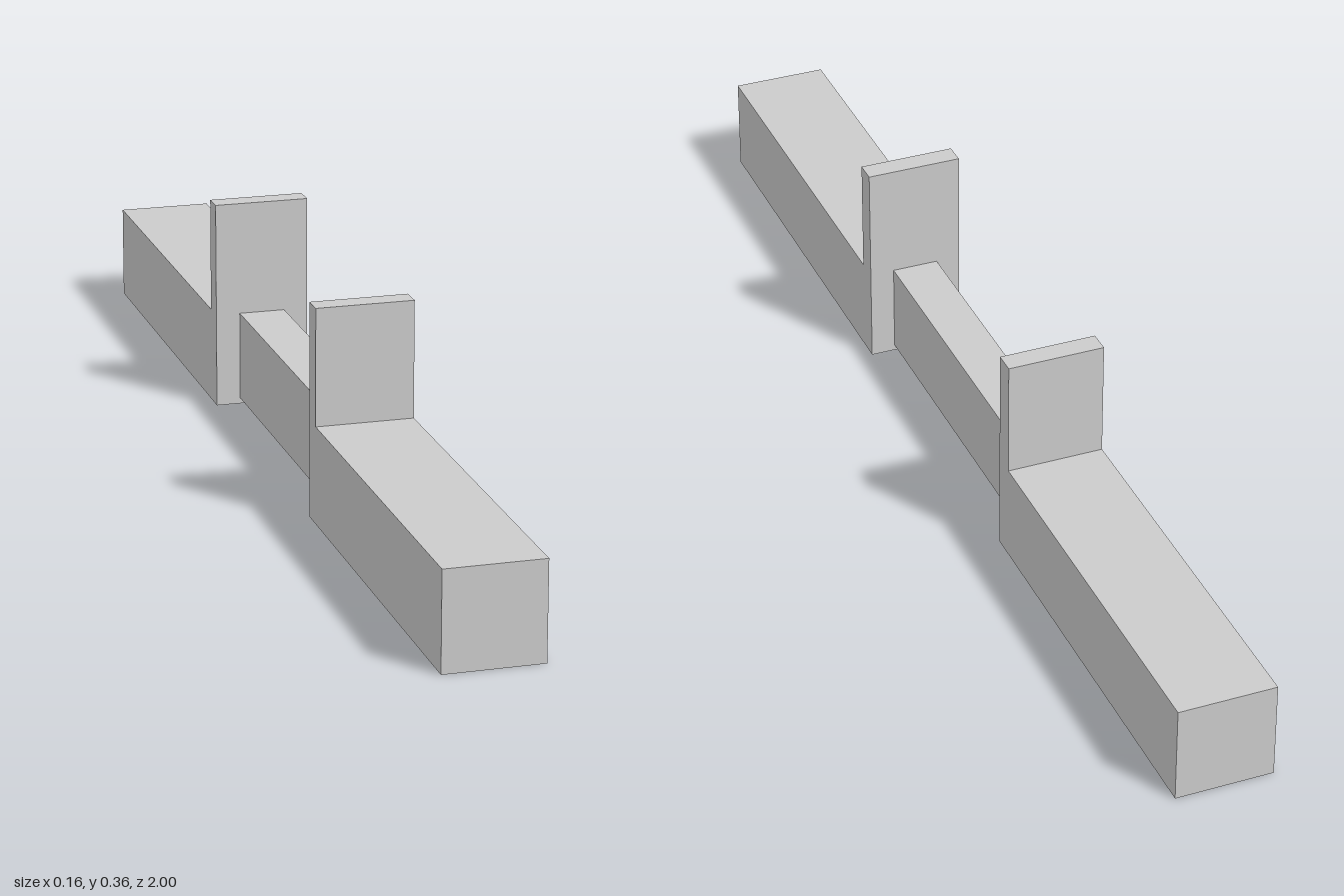
import * as THREE from 'three';

const WIDTH = 0.164, BEAM_TOP = 0.165, PLATE_TOP = 0.363;
const INNER = 0.296, PLATE_OUTER = 0.333, END = 1;

export function createModel() {
  const group = new THREE.Group();
  const material = new THREE.MeshStandardMaterial({ color: 0xcccccc, flatShading: true });

  // L-shaped side profile: long beam with an upright plate at its inner end
  const profile = new THREE.Shape([
    [INNER, 0], [END, 0], [END, BEAM_TOP],
    [PLATE_OUTER, BEAM_TOP], [PLATE_OUTER, PLATE_TOP], [INNER, PLATE_TOP],
  ].map(([x, y]) => new THREE.Vector2(x, y)));
  const armGeometry = new THREE.ExtrudeGeometry(profile, { depth: WIDTH, bevelEnabled: false });
  armGeometry.translate(0, 0, -WIDTH / 2);

  // One arm towards the front, one towards the back
  for (const [name, turn] of [['frontArm', -Math.PI / 2], ['backArm', Math.PI / 2]]) {
    const arm = new THREE.Mesh(armGeometry, material);
    arm.name = name;
    arm.rotation.y = turn;
    group.add(arm);
  }

  // Narrow bar joining the arms, raised slightly off the ground
  const barBottom = 0.01;
  const bar = new THREE.Mesh(
    new THREE.BoxGeometry(0.08, BEAM_TOP - barBottom, INNER * 2), material);
  bar.name = 'connectingBar';
  bar.position.y = (BEAM_TOP + barBottom) / 2;
  group.add(bar);

  return group;
}
